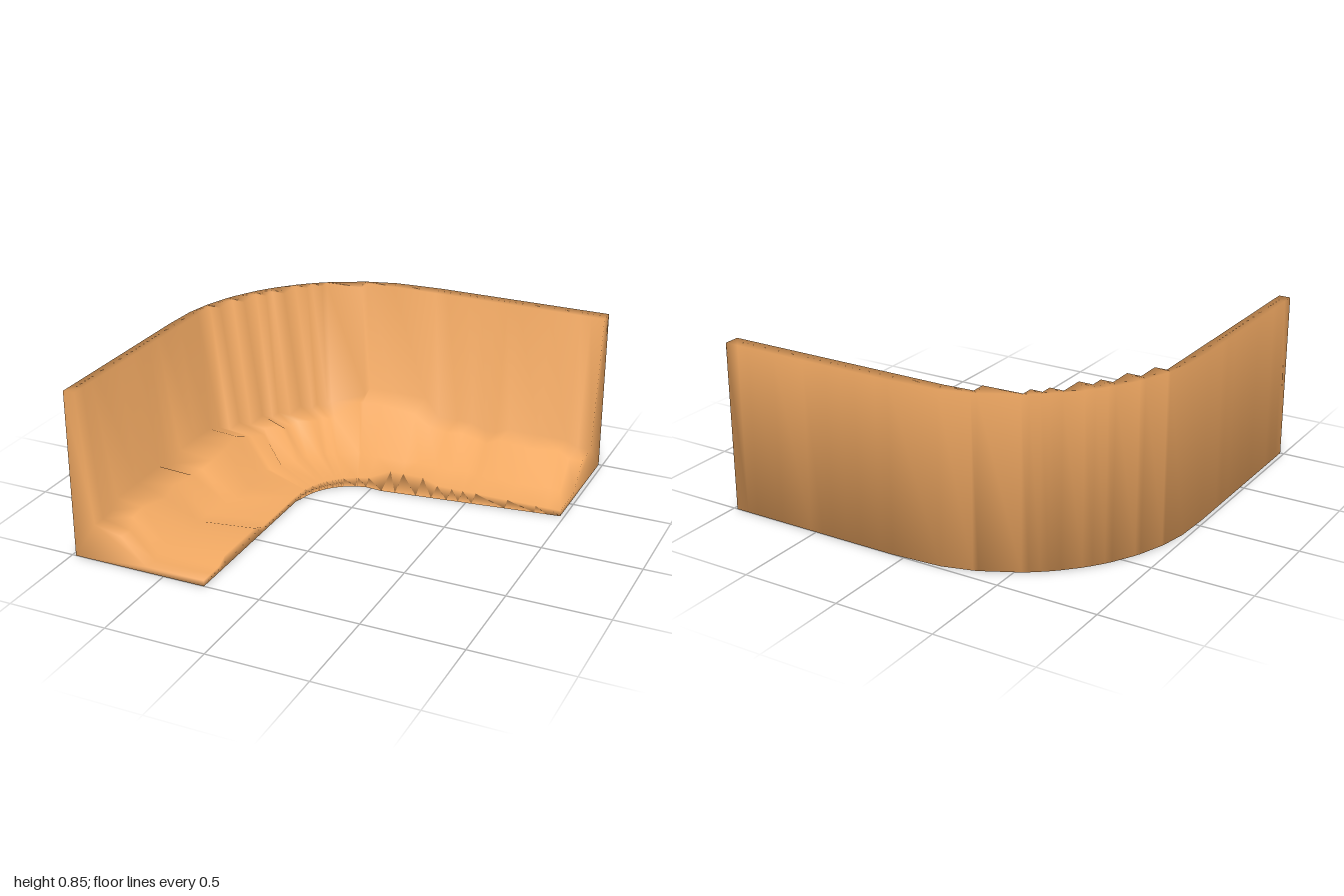
import * as THREE from 'three';

// Each station is a cross-section: outer wall, rim, foot of the wall, rubble crest, slope base, floor edge.
const stations = [];

function addStation(outer, rim, foot, crest, slope, floor, base, hFoot, hCrest, hFloor) {
  const at = ([x, z], y) => [x, y, z];
  stations.push([
    at(outer, 0), at(outer, 0.85), at(rim, 0.85), at(foot, hFoot),
    at(crest, hCrest), at(slope, 0.03), at(floor, hFloor), at(base, 0),
  ]);
}

// Left arm: [z, foot height, crest height, sideways shift of the rubble, floor edge height]
const leftArm = [
  [1, 0.19, 0.16, 0, 0.03], [0.93, 0.19, 0.16, 0.01, 0.03], [0.86, 0.2, 0.19, -0.02, 0.03],
  [0.8, 0.24, 0.22, 0, 0.06], [0.62, 0.24, 0.19, 0.02, 0.06], [0.5, 0.24, 0.2, -0.01, 0.06],
  [0.42, 0.24, 0.19, 0, 0.03], [0.35, 0.19, 0.19, 0.01, 0.03], [0.27, 0.19, 0.19, 0.02, 0.03],
  [0.21, 0.24, 0.22, 0.05, 0.03], [0.06, 0.24, 0.22, 0.04, 0.03],
];

// Stepped inner rim around the bend: [x, z, crest height]
const bend = [
  [-0.92, -0.12, 0.23], [-0.92, -0.25, 0.19], [-0.86, -0.25, 0.19], [-0.86, -0.38, 0.17],
  [-0.79, -0.38, 0.19], [-0.79, -0.51, 0.19], [-0.73, -0.51, 0.17], [-0.73, -0.58, 0.17],
  [-0.66, -0.58, 0.19], [-0.66, -0.71, 0.19], [-0.59, -0.71, 0.18], [-0.59, -0.77, 0.19],
  [-0.53, -0.77, 0.19], [-0.53, -0.83, 0.2], [-0.33, -0.84, 0.27], [-0.33, -0.91, 0.28],
  [-0.18, -0.92, 0.28],
];

// Back arm: [x, foot height, crest height, sideways shift of the rubble, floor edge height]
const backArm = [
  [0.06, 0.285, 0.26, 0.02, 0.06], [0.13, 0.19, 0.19, -0.01, 0.06], [0.24, 0.19, 0.18, 0.01, 0.06],
  [0.32, 0.19, 0.19, 0, 0.03], [0.4, 0.16, 0.16, -0.02, 0.03], [0.46, 0.16, 0.16, 0.01, 0.03],
  [0.53, 0.19, 0.19, 0, 0.03], [0.7, 0.19, 0.18, 0.01, 0.03], [0.85, 0.19, 0.19, -0.01, 0.03],
  [0.91, 0.16, 0.16, 0, 0.03], [0.98, 0.16, 0.16, 0, 0.03],
];

function buildStations() {
  for (const [z, hf, hc, s, floorY] of leftArm) {
    const p = (x) => [x, z];
    addStation(p(-0.98), p(-0.92), p(-0.86), p(-0.72 + s), p(-0.59 + s), p(-0.285), p(-0.285), hf, hc, floorY);
  }

  bend.forEach(([x, z, h], i) => {
    const a = Math.atan2(-z, -x);
    const arc = (cx, cz, r) => [cx - r * Math.cos(a), cz - r * Math.sin(a)];
    const t = a / (Math.PI / 2);
    const s = 0.02 * Math.sin(i * 1.9);
    const outer = [-0.98 * Math.cos(a), -Math.sin(a)];
    // the wall leans away from the stepped rim
    const foot = [x + 0.06 * Math.min(1, (1 - t) * 4), z + 0.075 * Math.min(1, t * 4)];
    addStation(outer, [x, z], foot, arc(0, 0, 0.71 + s), arc(0, 0, 0.57 + s),
      arc(0.03, 0.06, 0.31 + 0.05 * t), arc(0.03, 0.06, 0.305), h > 0.22 ? h : 0.195, h - 0.01, 0.03);
  });

  for (const [x, hf, hc, s, floorY] of backArm) {
    const p = (z) => [x, z];
    const edge = -0.232 - 0.118 * (x - 0.06) / 0.92;
    addStation(p(-1), p(-0.92), p(-0.83), p(-0.68 + s), p(-0.56 + s), p(-0.35), p(edge), hf, hc, floorY);
  }
}

// Triangles closing one end of the section strip
function capTriangles(ring, axis, flip) {
  const pts = ring.map((p) => new THREE.Vector2(p[axis], p[1]));
  const out = [];
  for (const [a, b, c] of THREE.ShapeUtils.triangulateShape(pts, [])) {
    const ccw = THREE.ShapeUtils.area([pts[a], pts[b], pts[c]]) > 0;
    out.push(...(ccw !== flip ? [a, b, c] : [a, c, b]));
  }
  return out;
}

export function createModel() {
  stations.length = 0;
  buildStations();
  const n = stations[0].length;
  const last = stations.length - 1;
  const index = [];

  // Skin between neighbouring sections
  for (let i = 0; i < last; i++) {
    for (let j = 0; j < n; j++) {
      const a = i * n + j;
      const b = i * n + (j + 1) % n;
      index.push(a, b, b + n, a, b + n, a + n);
    }
  }
  index.push(...capTriangles(stations[0], 0, false));
  index.push(...capTriangles(stations[last], 2, true).map((k) => k + last * n));

  const geometry = new THREE.BufferGeometry();
  geometry.setAttribute('position', new THREE.Float32BufferAttribute(stations.flat(2), 3));
  geometry.setIndex(index);
  geometry.computeVertexNormals();

  const rock = new THREE.MeshStandardMaterial({ color: 0xf0a862 });
  const wall = new THREE.Mesh(geometry, rock);
  wall.name = 'curvedCliffWall';

  const group = new THREE.Group();
  group.name = 'cliffCorner';
  group.add(wall);
  return group;
}
